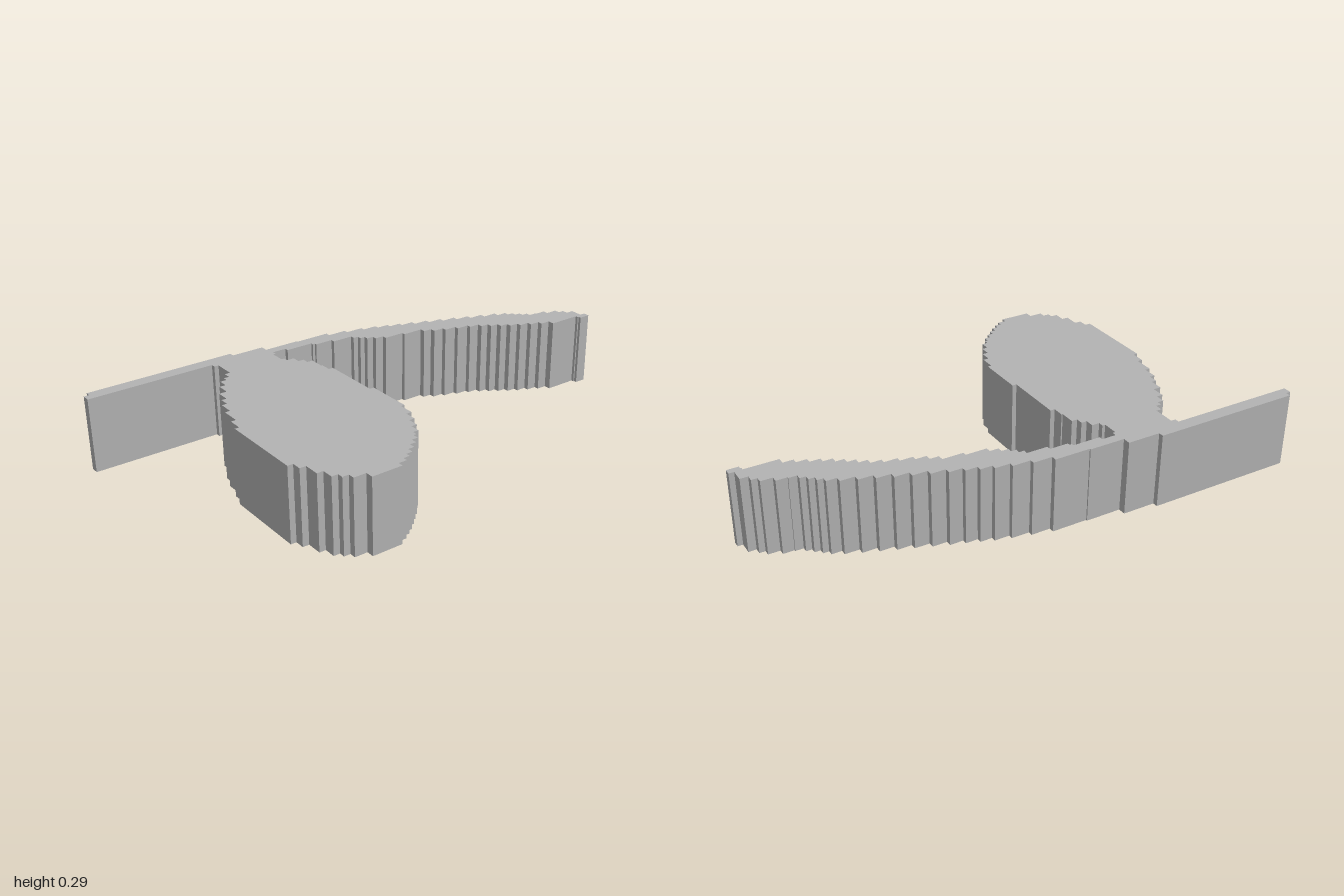
import * as THREE from 'three';

const HEIGHT = 0.293;
const STEP = 0.021;

// Outline key points as [x, z]; slanted runs between them become small square stairs.
const bladeOuterEdge = [
  [-0.01, -1], [-0.06, -0.98], [-0.11, -0.95], [-0.155, -0.86], [-0.16, -0.82], [-0.24, -0.73],
  [-0.33, -0.51], [-0.395, -0.34], [-0.45, -0.2], [-0.485, -0.06], [-0.505, 0.02],
  [-0.51, 0.22], [-0.54, 0.3], [-0.54, 0.39], [-0.56, 0.39],
];
const stem = [[-0.56, 0.98], [-0.54, 0.98], [-0.54, 1], [-0.508, 1], [-0.508, 0.5], [-0.49, 0.5], [-0.49, 0.482]];
const bowl = [
  [-0.405, 0.482], [-0.375, 0.525], [-0.3, 0.575], [-0.235, 0.605], [-0.16, 0.645], [-0.01, 0.685],
  [0.025, 0.702], [0.335, 0.702], [0.335, 0.68], [0.41, 0.655], [0.5, 0.605], [0.525, 0.555],
  [0.555, 0.505], [0.555, 0.43], [0.535, 0.39], [0.5, 0.34], [0.41, 0.24], [0.335, 0.195],
  [0.245, 0.15], [0.17, 0.135], [0.025, 0.135], [0.025, 0.152], [-0.21, 0.152], [-0.21, 0.17],
  [-0.3, 0.175], [-0.355, 0.22], [-0.395, 0.25], [-0.395, 0.262],
];
const bladeInnerEdge = [
  [-0.455, 0.262], [-0.473, 0.24], [-0.473, 0.195], [-0.457, 0.195], [-0.457, 0.085], [-0.437, 0.075],
  [-0.42, -0.07], [-0.365, -0.13], [-0.325, -0.2], [-0.31, -0.33], [-0.265, -0.4], [-0.21, -0.55],
  [-0.12, -0.68], [-0.06, -0.8], [-0.033, -0.84], [-0.033, -0.95], [-0.01, -0.955],
];

// Adds square stairs from a to b, splitting the longer run either side of each short move.
function addStairs(points, [ax, az], [bx, bz]) {
  const dx = bx - ax, dz = bz - az;
  const n = Math.max(1, Math.round(Math.min(Math.abs(dx), Math.abs(dz)) / STEP));
  const slanted = Math.min(Math.abs(dx), Math.abs(dz)) > 0.001;
  points.push(new THREE.Vector2(ax, -az));
  if (!slanted) return;
  const alongX = Math.abs(dx) > Math.abs(dz);
  for (let i = 0; i < n; i++) {
    const t0 = i / n, mid = (i + 0.5) / n, t1 = (i + 1) / n;
    for (const t of [t0, t1]) {
      points.push(alongX
        ? new THREE.Vector2(ax + dx * mid, -(az + dz * t))
        : new THREE.Vector2(ax + dx * t, -(az + dz * mid)));
    }
  }
}

export function createModel() {
  const group = new THREE.Group();
  const grey = new THREE.MeshStandardMaterial({ color: 0xb3b3b3 });
  grey.name = 'plain grey';

  // One closed outline: curved blade, straight stem and rounded bowl
  const outline = [...bladeOuterEdge, ...stem, ...bowl, ...bladeInnerEdge];
  const points = [];
  outline.forEach((p, i) => addStairs(points, p, outline[(i + 1) % outline.length]));

  const geometry = new THREE.ExtrudeGeometry(new THREE.Shape(points), {
    depth: HEIGHT, bevelEnabled: false,
  });
  geometry.rotateX(-Math.PI / 2);

  const body = new THREE.Mesh(geometry, grey);
  body.name = 'extrudedStroke';
  group.add(body);
  return group;
}
